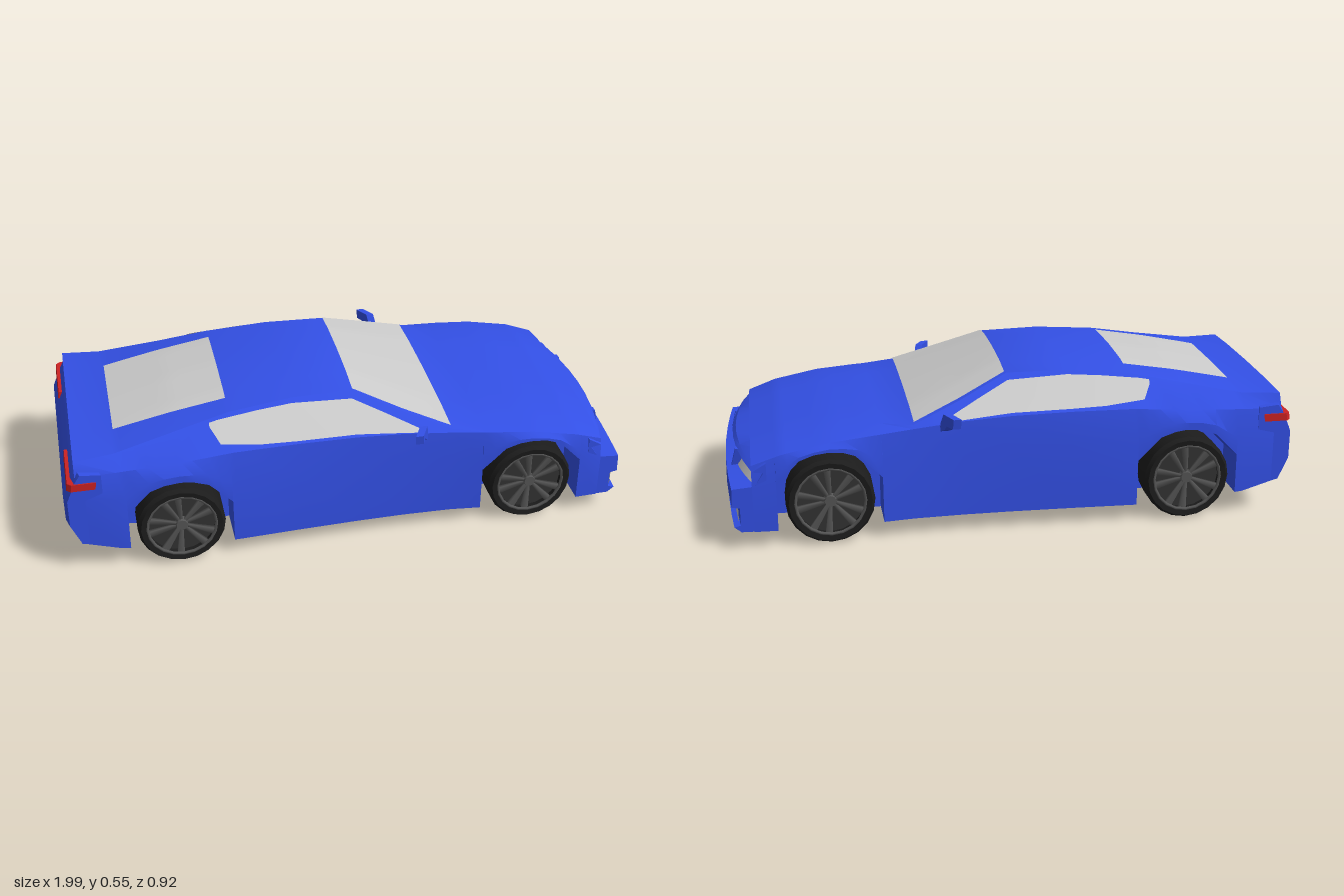
import * as THREE from 'three';
import { toCreasedNormals } from 'three/addons/utils/BufferGeometryUtils.js';

const paint = (color) => new THREE.MeshStandardMaterial({ color, side: THREE.DoubleSide });
const blue = paint(0x3350e6), grey = paint(0xcccccc), red = paint(0xcc2222);
const rubber = paint(0x1c1c1c), alloy = paint(0x555555), dark = paint(0x333333);
const WHEELS = [-0.612, 0.64];

// Body stations: x, floor y, half width, shoulder z, shoulder y, roof edge z, roof edge y, centre y
const STATIONS = [
  [-0.955, 0.12, 0.402, 0.388, 0.385, 0.365, 0.432, 0.44],
  [-0.82, 0.085, 0.412, 0.39, 0.388, 0.345, 0.435, 0.443],
  [-0.6, 0.065, 0.415, 0.395, 0.4, 0.31, 0.475, 0.497],
  [-0.42, 0.06, 0.412, 0.39, 0.413, 0.285, 0.51, 0.528],
  [-0.2, 0.06, 0.402, 0.387, 0.415, 0.27, 0.53, 0.543],
  [0.01, 0.06, 0.395, 0.385, 0.412, 0.262, 0.528, 0.545],
  [0.18, 0.06, 0.393, 0.385, 0.403, 0.325, 0.46, 0.478],
  [0.35, 0.06, 0.397, 0.388, 0.387, 0.376, 0.397, 0.411],
  [0.5, 0.06, 0.412, 0.4, 0.375, 0.31, 0.392, 0.4],
  [0.64, 0.06, 0.42, 0.405, 0.362, 0.3, 0.378, 0.386],
  [0.8, 0.06, 0.42, 0.407, 0.33, 0.3, 0.348, 0.356],
  [0.9, 0.06, 0.416, 0.4, 0.295, 0.3, 0.312, 0.322],
];
const { lerp, clamp } = THREE.MathUtils;

function station(x) {
  let i = 0;
  while (i < STATIONS.length - 2 && x > STATIONS[i + 1][0]) i++;
  const a = STATIONS[i], b = STATIONS[i + 1], t = clamp((x - a[0]) / (b[0] - a[0]), 0, 1);
  const [, yb, w, zs, ys, zr, yr, yc] = a.map((v, k) => lerp(v, b[k], t));
  return { yb, w, zs, ys, zr, yr, yc, zm: zr * 0.6, ym: lerp(yr, yc, 0.75) };
}

// Lower edge of the flank, raised over each wheel
function archY(x, floor) {
  const d = Math.min(...WHEELS.map((c) => Math.abs(x - c)));
  if (d >= 0.18) return floor;
  if (d > 0.1) return lerp(0.308, 0.225, (d - 0.1) / 0.08);
  return lerp(0.332, 0.308, (d / 0.1) ** 2);
}

// Surface through a grid of points given by fn(u, v)
function grid(nu, nv, fn) {
  const pos = [], idx = [];
  for (let i = 0; i <= nu; i++) for (let j = 0; j <= nv; j++) pos.push(...fn(i / nu, j / nv));
  for (let i = 0; i < nu; i++) for (let j = 0; j < nv; j++) {
    const a = i * (nv + 1) + j, b = a + nv + 1;
    idx.push(a, b, a + 1, b, b + 1, a + 1);
  }
  const g = new THREE.BufferGeometry();
  g.setAttribute('position', new THREE.Float32BufferAttribute(pos, 3));
  g.setIndex(idx);
  g.computeVertexNormals();
  return g;
}

// Skin over closed rings of [x, y, z], with capped ends; flat(p) gives the cap's 2D plane
function loft(rings, flat) {
  const n = rings[0].length, idx = [];
  for (let r = 0; r < rings.length - 1; r++) for (let k = 0; k < n; k++) {
    const a = r * n + k, b = r * n + (k + 1) % n;
    idx.push(a, b, a + n, b, b + n, a + n);
  }
  const cap = (ring, off, flip) => {
    const pts = ring.map((p) => new THREE.Vector2(...flat(p)));
    for (const [a, b, c] of THREE.ShapeUtils.triangulateShape(pts, [])) {
      idx.push(off + a, off + (flip ? c : b), off + (flip ? b : c));
    }
  };
  cap(rings[0], 0, true);
  cap(rings[rings.length - 1], (rings.length - 1) * n, false);
  const g = new THREE.BufferGeometry();
  g.setAttribute('position', new THREE.Float32BufferAttribute(rings.flat(2), 3));
  g.setIndex(idx);
  return toCreasedNormals(g.toNonIndexed(), 0.45);
}

function bodyRing(x) {
  const s = station(x), ya = archY(x, s.yb), open = ya > s.yb;
  const half = [
    [0, s.yb], [0.27, s.yb], [0.27, open ? ya - 0.012 : ya + 0.001], [s.w, ya + 0.001],
    [s.w, lerp(ya, s.ys, open ? 0.4 : 0.68)], [s.zs, s.ys], [s.zr, s.yr], [s.zm, s.ym], [0, s.yc],
  ];
  const other = half.slice(1, -1).reverse().map(([z, y]) => [-z, y]);
  return [...half, ...other].map(([z, y]) => [x, y, z]);
}

// Height of the body's upper surface
function topY(x, z) {
  const s = station(x), d = Math.abs(z);
  return d < s.zm ? lerp(s.yc, s.ym, d / s.zm) : lerp(s.ym, s.yr, (d - s.zm) / (s.zr - s.zm));
}

const noseSweep = (z, y) => (y > 0.222 ? 0.065 : 0.022) * (z / 0.415) ** 2;

function wheel() {
  const g = new THREE.Group();
  const add = (name, geo, mat) => {
    const m = new THREE.Mesh(geo, mat);
    m.name = name;
    g.add(m);
    return m;
  };
  const profile = [[0.0, -0.05], [0.12, -0.06], [0.142, -0.065], [0.152, -0.05], [0.152, 0.05],
    [0.142, 0.065], [0.122, 0.062], [0.118, 0.03]].map((p) => new THREE.Vector2(...p));
  add('tyre', toCreasedNormals(new THREE.LatheGeometry(profile, 20).toNonIndexed(), 0.4).rotateX(Math.PI / 2), rubber);
  add('rimDish', new THREE.CylinderGeometry(0.12, 0.12, 0.02, 20).rotateX(Math.PI / 2).translate(0, 0, 0.025), dark);
  add('rimEdge', new THREE.TorusGeometry(0.12, 0.006, 6, 20).translate(0, 0, 0.058), alloy);
  add('hub', new THREE.CylinderGeometry(0.02, 0.026, 0.03, 10).rotateX(Math.PI / 2).translate(0, 0, 0.042), alloy);
  for (let i = 0; i < 10; i++) {
    const spoke = new THREE.CylinderGeometry(0.017, 0.008, 0.105, 4, 1).rotateY(Math.PI / 4);
    spoke.scale(1, 1, 0.6).translate(0, 0.067, 0.046);
    add('spoke', spoke, alloy).rotation.z = (i + (i % 2 ? -0.12 : 0.12)) * Math.PI / 5;
  }
  return g;
}

export function createModel() {
  const car = new THREE.Group();
  car.name = 'car';
  const add = (name, geo, mat) => {
    const m = new THREE.Mesh(geo, mat);
    m.name = name;
    car.add(m);
    return m;
  };

  // Main shell with open wheel arches
  const xs = STATIONS.map((s) => s[0]);
  for (const c of WHEELS) for (const d of [0.1801, 0.1795, 0.14, 0.1, 0.05]) xs.push(c - d, c + d);
  xs.push(...WHEELS);
  xs.sort((a, b) => a - b);
  add('body', loft(xs.map(bodyRing), (p) => [p[2], p[1]]), blue);

  // Nose: hood lip, lamp recess, bumper bar, lower intake and chin
  const nose = [[0.85, 0.061], [0.965, 0.063], [0.988, 0.082], [0.966, 0.088], [0.966, 0.15], [0.992, 0.155],
    [0.99, 0.22], [0.955, 0.226], [0.925, 0.272], [0.962, 0.284], [0.95, 0.298], [0.85, 0.335]];
  const across = [-1, -0.75, -0.46, -0.2, 0, 0.2, 0.46, 0.75, 1];
  add('nose', loft(across.map((t) => {
    const z = t * 0.415;
    return nose.map(([x, y], i) => [x - (i && i < 11 ? noseSweep(z, y) : 0), y - (y > 0.28 ? (y - 0.27) * 0.45 * t * t : 0), z]);
  }), (p) => [p[0], p[1]]), blue);

  // Tail panel below the ducktail
  const tail = [[-0.88, 0.395], [-0.95, 0.402], [-0.968, 0.375], [-0.985, 0.335], [-1, 0.3], [-1, 0.2], [-0.965, 0.12], [-0.88, 0.105]];
  add('tail', loft([-0.404, -0.36, 0, 0.36, 0.404].map((z) =>
    tail.map(([x, y]) => [x + (Math.abs(z) > 0.4 ? 0.012 : 0), y, z])), (p) => [p[0], p[1]]), blue);

  // Front and rear glass follow the upper surface
  add('windscreen', grid(12, 20, (u, v) => {
    const x = lerp(0.015, 0.345, u), z = (v * 2 - 1) * station(x).zr * 0.975;
    return [x + 0.002, topY(x, z) + 0.005, z];
  }), grey);
  add('rearWindow', grid(12, 12, (u, v) => {
    const x = lerp(-0.81, -0.42, u), z = lerp(-0.215, 0.215, v);
    return [x, topY(x, z) + 0.005, z];
  }), grey);

  // Side glass: x, lower and upper limits between shoulder and roof edge
  const pane = [[-0.49, 0.78, 0.9], [-0.46, 0.27, 0.9], [-0.32, 0.1, 0.89], [-0.2, 0.06, 0.88], [0.01, 0.06, 0.82], [0.12, 0.05, 0.7], [0.24, 0.05, 0.25]];

  for (const side of [1, -1]) {
    add('sideWindow', grid(pane.length - 1, 1, (u, v) => {
      const [x, lo, hi] = pane[Math.round(u * (pane.length - 1))], s = station(x), t = lerp(lo, hi, v);
      return [x, lerp(s.ys, s.yr, t) + 0.003, side * (lerp(s.zs, s.zr, t) + 0.004)];
    }), grey);

    // Headlamp lying in the recess, with a divider beside the grille
    add('headlamp', grid(8, 1, (u, v) => {
      const z = lerp(lerp(0.2, 0.215, v), lerp(0.412, 0.395, v), u);
      const y = lerp(lerp(0.226, 0.24, u), 0.268, v);
      return [lerp(0.962, 0.936, v) - noseSweep(z, 0.25), y, side * z];
    }), grey);
    const divider = (z, d) => [[0.9, 0.22, z], [0.968, 0.222, z], [0.952, 0.285, z + d], [0.9, 0.285, z + d]];
    add('grilleDivider', loft([divider(0.172, 0.012), divider(0.196, 0.012)].map((r) =>
      r.map(([x, y, z]) => [x, y, side * z])), (p) => [p[0], p[1]]), blue);

    add('fogLamp', grid(4, 1, (u, v) => {
      const z = lerp(0.255 + 0.008 * (1 - v), 0.408, u);
      return [0.971 - noseSweep(z, 0.1), lerp(0.096, 0.145, v), side * z];
    }), grey);

    // Tail lamp wrapping the corner
    const lamp = [[-0.95, 0.19], [-0.986, 0.19], [-0.986, 0.395], [-0.972, 0.408], [-0.89, 0.408], [-0.93, 0.38]];
    add('tailLamp', loft([0.343, 0.37].map((y) =>
      lamp.map(([x, z]) => [x + (y > 0.35 ? 0.004 : 0), y, side * z])), (p) => [p[0], p[2]]), red);

    // Door mirror on its stalk
    const mirror = [[0.382, 0.37], [0.41, 0.385], [0.422, 0.402], [0.455, 0.402], [0.46, 0.437], [0.405, 0.44], [0.39, 0.405]];
    add('doorMirror', loft([0.235, 0.262].map((x) =>
      mirror.map(([z, y]) => [x - (z - 0.382) * 0.5, y, side * z])), (p) => [p[2], p[1]]), blue);

    // Exhaust pipe
    const pipe = [[0, 0.03], [0.024, 0.03], [0.024, -0.035], [0.03, -0.035], [0.03, 0.04]].map((p) => new THREE.Vector2(...p));
    const exhaust = add('exhaust', toCreasedNormals(new THREE.LatheGeometry(pipe, 14).toNonIndexed(), 0.5), alloy);
    exhaust.rotation.z = -Math.PI / 2;
    exhaust.position.set(-0.963, 0.148, side * 0.24);

    for (const x of WHEELS) {
      const w = wheel();
      w.name = x > 0 ? 'frontWheel' : 'rearWheel';
      w.position.set(x, 0.152, side * 0.355);
      if (side < 0) w.rotation.y = Math.PI;
      car.add(w);
    }
  }
  return car;
}
